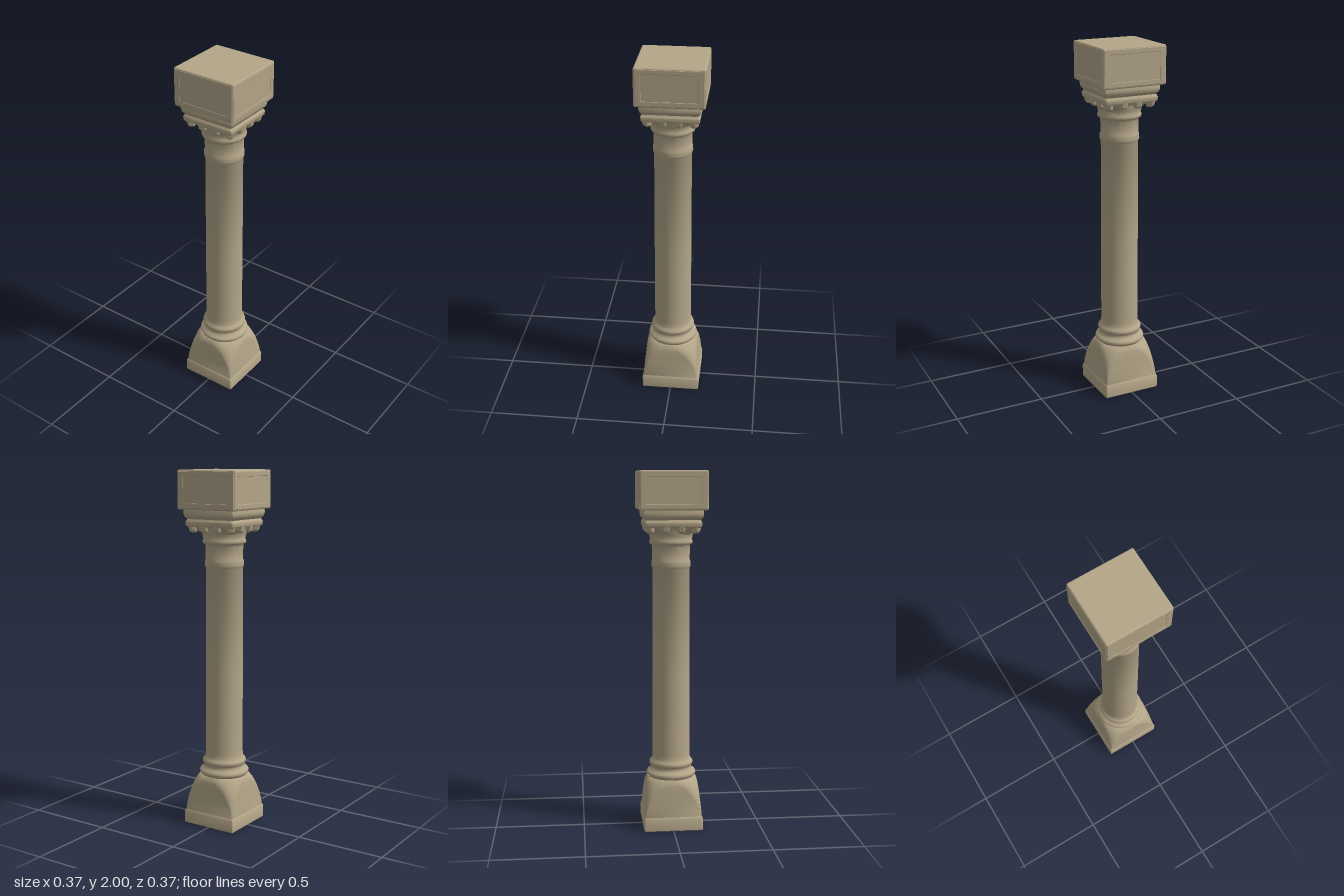
import * as THREE from 'three';
import { toCreasedNormals } from 'three/addons/utils/BufferGeometryUtils.js';
import { RoundedBoxGeometry } from 'three/addons/geometries/RoundedBoxGeometry.js';

const stone = new THREE.MeshStandardMaterial({ color: 0xb3a588 });
stone.name = 'sandstone';

function add(parent, name, geometry, x = 0, y = 0, z = 0) {
  const mesh = new THREE.Mesh(geometry, stone);
  mesh.name = name;
  mesh.position.set(x, y, z);
  parent.add(mesh);
  return mesh;
}

// Skin rounded-square sections [height, half width, corner radius]; radius = half width gives a circle.
function loft(sections, crease = 0.6) {
  const steps = 10, count = 4 * (steps + 1), pos = [], index = [];
  for (const [y, half, r] of sections) {
    for (let k = 0; k < 4; k++) {
      const sx = k === 0 || k === 3 ? 1 : -1, sz = k < 2 ? -1 : 1;
      for (let i = 0; i <= steps; i++) {
        const a = (k + i / steps) * Math.PI / 2;
        pos.push(sx * (half - r) + r * Math.cos(a), y, sz * (half - r) - r * Math.sin(a));
      }
    }
  }
  const last = sections.length - 1, bottom = count * sections.length, top = bottom + 1;
  pos.push(0, sections[0][0], 0, 0, sections[last][0], 0);
  for (let i = 0; i < count; i++) {
    const n = (i + 1) % count;
    for (let j = 0; j < last; j++) {
      const a = j * count + i, b = j * count + n;
      index.push(a, b, b + count, a, b + count, a + count);
    }
    index.push(bottom, n, i, top, last * count + i, last * count + n);
  }
  const g = new THREE.BufferGeometry();
  g.setAttribute('position', new THREE.Float32BufferAttribute(pos, 3));
  g.setIndex(index);
  return toCreasedNormals(g, crease);
}

// Raised border that leaves a shallow sunken panel
function panelFrame() {
  const rect = (path, w, h) => path.moveTo(-w, -h).lineTo(w, -h).lineTo(w, h).lineTo(-w, h).closePath();
  const shape = rect(new THREE.Shape(), 0.176, 0.095);
  shape.holes.push(rect(new THREE.Path(), 0.15, 0.075));
  return new THREE.ExtrudeGeometry(shape, {
    depth: 0.001, bevelEnabled: true, bevelThickness: 0.002, bevelSize: 0.003, bevelSegments: 2,
  });
}

export function createModel() {
  const column = new THREE.Group();
  column.name = 'column';

  // Square foot and pedestal whose corners melt into a circle
  add(column, 'plinth', loft([
    [0, 0.162, 0.006], [0.004, 0.165, 0.006], [0.07, 0.165, 0.006], [0.077, 0.162, 0.006], [0.082, 0.158, 0.006],
  ]));
  add(column, 'pedestal', loft([
    [0.078, 0.16, 0.008], [0.12, 0.157, 0.015], [0.16, 0.154, 0.03], [0.2, 0.151, 0.053],
    [0.23, 0.149, 0.08], [0.255, 0.147, 0.108], [0.272, 0.143, 0.128], [0.285, 0.134, 0.134],
  ], 0.8));

  // Turned base rings, shaft and neck
  const profile = [
    [0.125, 0.275], [0.13, 0.288], [0.137, 0.294], [0.14, 0.304], [0.137, 0.314], [0.128, 0.32],
    [0.118, 0.328], [0.114, 0.338], [0.116, 0.348], [0.122, 0.355], [0.124, 0.365], [0.121, 0.375],
    [0.112, 0.382], [0.107, 0.395], [0.105, 0.42], [0.104, 0.9], [0.102, 1.468], [0.106, 1.474],
    [0.109, 1.485], [0.107, 1.498], [0.108, 1.508], [0.104, 1.515], [0.104, 1.59], [0.107, 1.598],
    [0.118, 1.604], [0.121, 1.613], [0.118, 1.622], [0.115, 1.628], [0.12, 1.65], [0.128, 1.675], [0.132, 1.7],
  ].map(([r, y]) => new THREE.Vector2(r, y));
  add(column, 'shaft', toCreasedNormals(new THREE.LatheGeometry(profile, 48), 0.9));

  // Capital: bell widening to a square, with stepped mouldings
  const capital = new THREE.Group();
  capital.name = 'capital';
  column.add(capital);
  add(capital, 'bell', loft([
    [1.64, 0.114, 0.114], [1.665, 0.122, 0.11], [1.685, 0.13, 0.07], [1.705, 0.14, 0.02],
  ], 0.8));
  add(capital, 'mouldings', loft([
    [1.695, 0.148, 0.01], [1.702, 0.154, 0.01], [1.722, 0.156, 0.01], [1.73, 0.151, 0.01],
    [1.736, 0.148, 0.01], [1.744, 0.154, 0.01], [1.752, 0.16, 0.01], [1.772, 0.164, 0.01],
    [1.78, 0.163, 0.01], [1.795, 0.158, 0.01],
  ], 0.7));

  // Row of hanging leaf tips: four per side, sharing the corners
  const tip = new RoundedBoxGeometry(0.05, 0.055, 0.04, 3, 0.014);
  const p = tip.attributes.position;
  for (let i = 0; i < p.count; i++) {
    const t = (0.0275 - p.getY(i)) / 0.055;
    p.setX(i, p.getX(i) * (1 - 0.35 * t * t));
    p.setZ(i, p.getZ(i) - 0.012 * t * t);
  }
  tip.computeVertexNormals();
  for (let side = 0; side < 4; side++) {
    const row = new THREE.Group();
    row.name = 'leafRow';
    row.rotation.y = side * Math.PI / 2;
    capital.add(row);
    for (const x of [-0.042, 0.042]) add(row, 'leafTip', tip, x, 1.69, 0.135);
    add(row, 'cornerLeafTip', tip, 0.128, 1.69, 0.128).rotation.y = Math.PI / 4;
  }

  // Heavy top block with sunken side panels
  const block = new THREE.Group();
  block.name = 'topBlock';
  column.add(block);
  add(block, 'blockCore', new RoundedBoxGeometry(0.368, 0.212, 0.368, 3, 0.008), 0, 1.894, 0);
  const frame = panelFrame();
  for (let side = 0; side < 4; side++) {
    const face = new THREE.Group();
    face.name = 'blockFace';
    face.rotation.y = side * Math.PI / 2;
    block.add(face);
    add(face, 'panelFrame', frame, 0, 1.894, 0.183);
  }
  return column;
}
